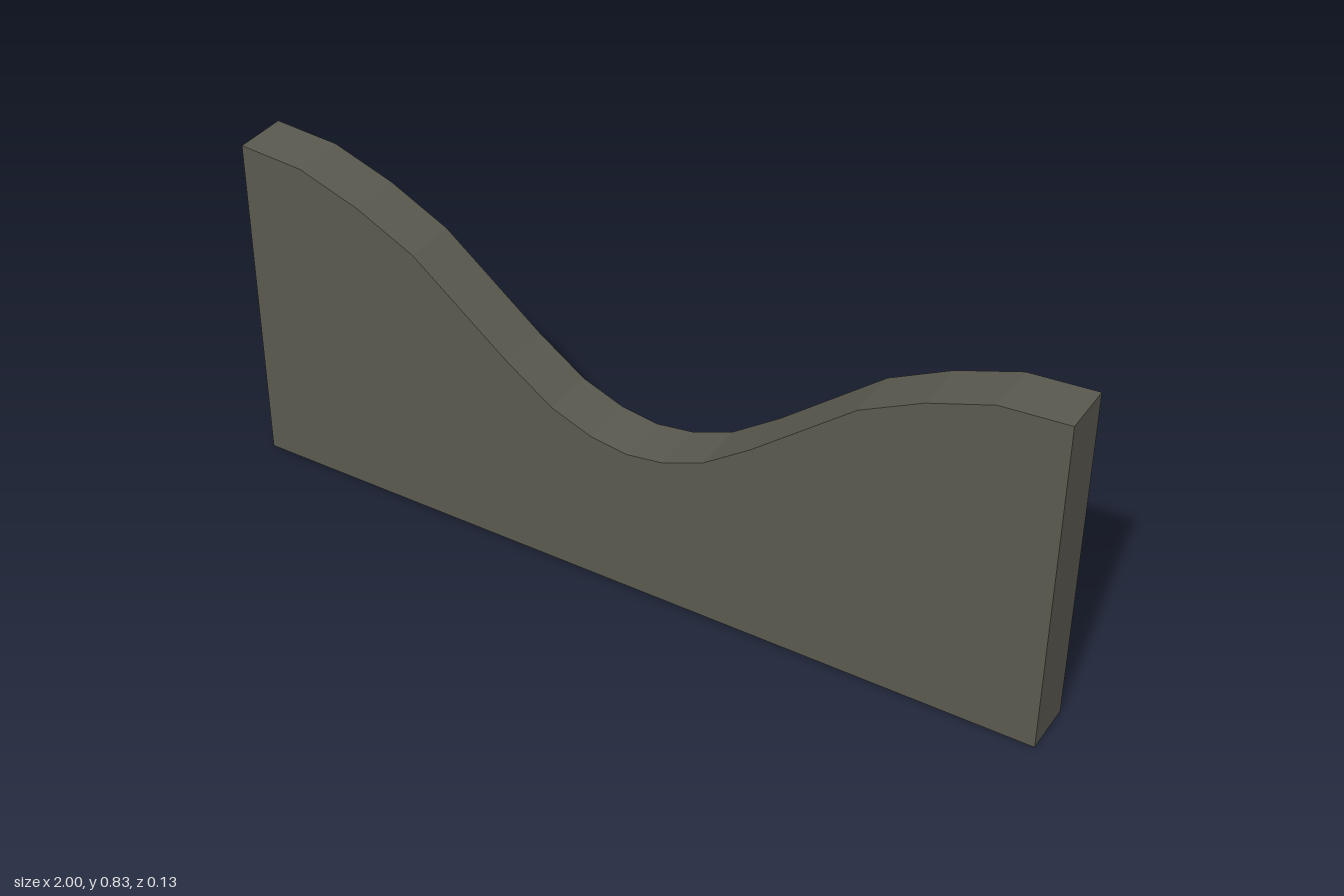
import * as THREE from 'three';

const HALF_DEPTH = 0.065;
// right half of the dipped top edge, from the centre outwards
const HALF_EDGE = [
  [0, 0.37], [0.09, 0.383], [0.19, 0.422], [0.305, 0.503],
  [0.545, 0.697], [0.69, 0.77], [0.84, 0.822], [1, 0.833],
];

// one quad strip across the depth, following the outline with flat facets
function rimGeometry(outline) {
  const pos = [];
  for (let i = 0; i < outline.length - 1; i++) {
    const [ax, ay] = outline[i], [bx, by] = outline[i + 1], d = HALF_DEPTH;
    pos.push(ax, ay, -d, ax, ay, d, bx, by, d);
    pos.push(ax, ay, -d, bx, by, d, bx, by, -d);
  }
  const geometry = new THREE.BufferGeometry();
  geometry.setAttribute('position', new THREE.Float32BufferAttribute(pos, 3));
  geometry.computeVertexNormals();
  return geometry;
}

export function createModel() {
  const model = new THREE.Group();
  model.name = 'dippedPanel';

  const darkOlive = new THREE.MeshStandardMaterial({ color: 0x5a594f, side: THREE.DoubleSide });
  darkOlive.name = 'dark olive grey';

  const add = (name, geometry) => {
    const mesh = new THREE.Mesh(geometry, darkOlive);
    mesh.name = name;
    model.add(mesh);
    return mesh;
  };

  // outline from the foot of one end, over the top, to the foot of the other
  const mirrored = HALF_EDGE.slice(1).reverse().map(([x, y]) => [-x, y]);
  const outline = [[-1, 0], ...mirrored, ...HALF_EDGE, [1, 0]];
  const shape = new THREE.Shape(outline.map(([x, y]) => new THREE.Vector2(x, y)));

  // front and back faces
  add('frontFace', new THREE.ShapeGeometry(shape)).position.z = HALF_DEPTH;
  const back = add('backFace', new THREE.ShapeGeometry(shape));
  back.position.z = -HALF_DEPTH;
  back.rotation.y = Math.PI;

  // end walls and curved top; the underside stays open
  add('endsAndTop', rimGeometry(outline));

  // thin partition in the middle of the hollow
  const height = HALF_EDGE[0][1];
  const partition = add('centrePartition', new THREE.PlaneGeometry(2 * HALF_DEPTH, height));
  partition.position.y = height / 2;
  partition.rotation.y = Math.PI / 2;

  return model;
}
